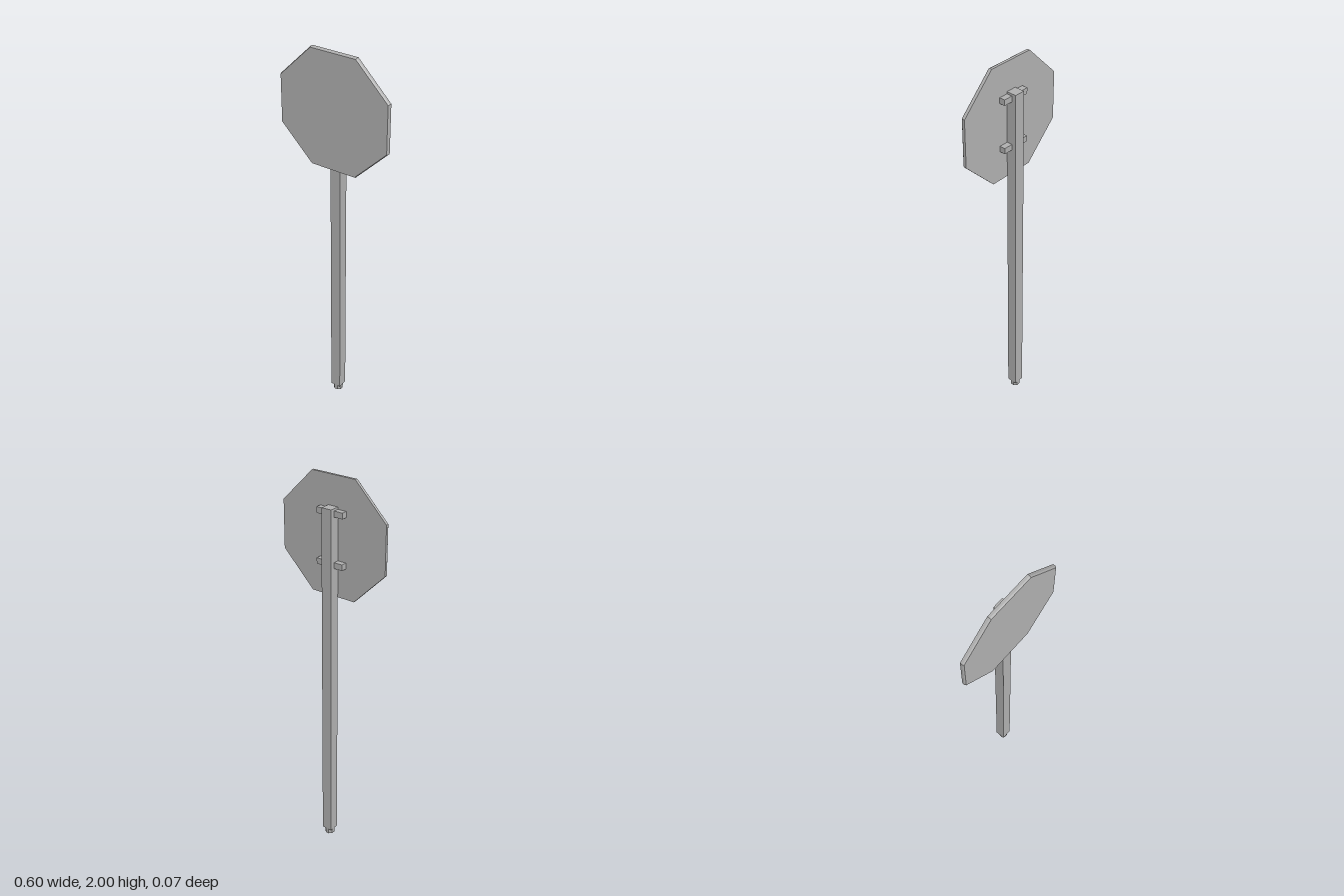
import * as THREE from 'three';

export function createModel() {
  const group = new THREE.Group();
  const grey = new THREE.MeshStandardMaterial({ color: 0xb0b0b0 });
  grey.name = 'plain grey';

  const add = (name, geometry, x, y, z) => {
    const mesh = new THREE.Mesh(geometry, grey);
    mesh.name = name;
    mesh.position.set(x, y, z);
    group.add(mesh);
  };

  // Octagonal prism facing +z, given the half width across flats at each end
  const octagon = (front, back, depth) => {
    const k = 1 / Math.cos(Math.PI / 8);
    return new THREE.CylinderGeometry(front * k, back * k, depth, 8, 1, false, Math.PI / 8)
      .rotateX(Math.PI / 2)
      .toNonIndexed();
  };
  const flat = (geometry) => {
    geometry.computeVertexNormals();
    return geometry;
  };

  // Sign panel: profile along z with a small chamfer at the front edge
  const k = 1 / Math.cos(Math.PI / 8);
  const profile = [[0, 0.016], [0.301 * k, 0.016], [0.301 * k, 0.029], [0.297 * k, 0.036], [0, 0.036]]
    .map(([r, z]) => new THREE.Vector2(r, z));
  const panel = new THREE.LatheGeometry(profile, 8, Math.PI / 8).rotateX(Math.PI / 2).toNonIndexed();
  add('signPanel', flat(panel), 0, 1.7, 0);

  // Square post
  const postZ = -0.0105;
  add('post', new THREE.BoxGeometry(0.056, 1.82, 0.053), 0, 0.942, postZ);

  // Mounting brackets on both sides of the post, upper and lower
  for (const y of [1.826, 1.572]) {
    for (const side of [-1, 1]) {
      add(side > 0 ? 'leftBracket' : 'rightBracket',
        new THREE.BoxGeometry(0.048, 0.03, 0.03), side * 0.052, y, 0.001);
    }
  }

  // Octagonal foot peg under the post
  add('footPeg', flat(octagon(0.024, 0.023, 0.034).rotateX(-Math.PI / 2)), 0, 0.017, postZ);

  return group;
}
